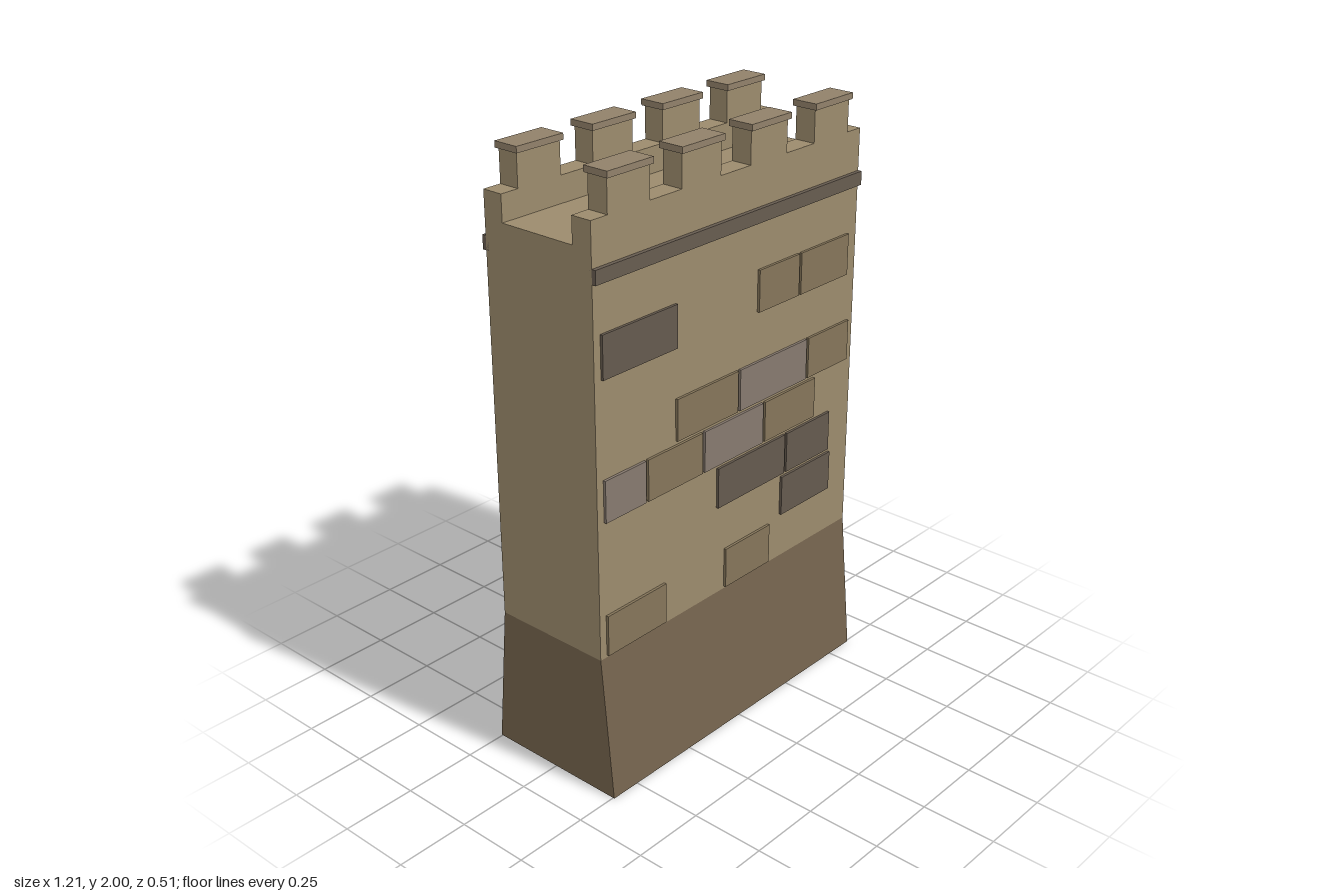
import * as THREE from 'three';

const WIDTH = 1.21, WALL_Z = 0.21;

const mat = (color) => new THREE.MeshStandardMaterial({ color, flatShading: true });

function mesh(name, geometry, material) {
  const m = new THREE.Mesh(geometry, material);
  m.name = name;
  return m;
}

// Box given by its limits on each axis
function box(name, [x0, x1], [y0, y1], [z0, z1], material) {
  const m = mesh(name, new THREE.BoxGeometry(x1 - x0, y1 - y0, z1 - z0), material);
  m.position.set((x0 + x1) / 2, (y0 + y1) / 2, (z0 + z1) / 2);
  return m;
}

// Cross-section of [z, y] points swept along the wall's width
function sweep(name, points, material) {
  const shape = new THREE.Shape(points.map(([z, y]) => new THREE.Vector2(-z, y)));
  const g = new THREE.ExtrudeGeometry(shape, { depth: WIDTH, bevelEnabled: false });
  g.translate(0, 0, -WIDTH / 2);
  g.rotateY(Math.PI / 2);
  return mesh(name, g, material);
}

export function createModel() {
  const group = new THREE.Group();
  const wallMat = mat(0x9c8b6d), baseMat = mat(0x75644e);
  const trimMat = mat(0x675c50), capMat = mat(0x91816a);
  const stoneMats = { tan: mat(0x85755a), dark: mat(0x655a4e), grey: mat(0x877a6f) };

  // Battered base
  group.add(sweep('base', [[-0.255, 0], [0.255, 0], [WALL_Z, 0.487], [-WALL_Z, 0.487]], baseMat));

  // Wall body with a walkway sunk between two parapets
  group.add(sweep('wall', [
    [-WALL_Z, 0.487], [WALL_Z, 0.487], [WALL_Z, 1.875], [0.138, 1.875],
    [0.138, 1.79], [-0.138, 1.79], [-0.138, 1.875], [-WALL_Z, 1.875],
  ], wallMat));

  // String course, merlons and caps on both faces
  const range = (s, a, b) => (s > 0 ? [a, b] : [-b, -a]);
  for (const s of [1, -1]) {
    const half = s > 0 ? 'front' : 'back';
    group.add(box(`${half}Band`, [-WIDTH / 2, WIDTH / 2], [1.692, 1.737], range(s, 0.2, 0.224), trimMat));
    for (const x of [-0.455, -0.152, 0.152, 0.455]) {
      group.add(box(`${half}Merlon`, [x - 0.085, x + 0.085], [1.875, 1.98], range(s, 0.138, WALL_Z), wallMat));
      group.add(box(`${half}MerlonCap`, [x - 0.092, x + 0.092], [1.98, 2], range(s, 0.13, 0.219), capMat));
    }
  }

  // Raised stones: [course, x from, x to, kind]
  const frontStones = [
    [0, -0.578, -0.32, 'tan'], [0, -0.035, 0.185, 'tan'],
    [1, 0.245, 0.5, 'dark'],
    [2, -0.075, 0.255, 'dark'], [2, 0.265, 0.49, 'dark'],
    [3, -0.578, -0.405, 'grey'], [3, -0.395, -0.15, 'tan'], [3, -0.14, 0.14, 'grey'], [3, 0.15, 0.405, 'tan'],
    [4, -0.265, 0.015, 'tan'], [4, 0.025, 0.355, 'grey'], [4, 0.365, 0.575, 'tan'],
    [6, -0.578, -0.265, 'dark'], [6, 0.11, 0.305, 'tan'], [6, 0.315, 0.557, 'tan'],
  ];
  const backStones = [
    [0, 0.133, 0.376, 'tan'], [0, -0.103, 0.125, 'grey'], [0, -0.576, -0.399, 'tan'],
    [1, 0.325, 0.578, 'dark'], [1, -0.546, -0.317, 'tan'],
    [2, 0.332, 0.578, 'tan'], [2, -0.465, -0.266, 'grey'],
    [3, -0.546, -0.244, 'dark'],
    [4, 0.044, 0.354, 'dark'], [4, -0.51, -0.192, 'tan'],
    [5, 0.39, 0.578, 'tan'], [5, -0.576, -0.251, 'dark'],
  ];
  const addStones = (name, stones, s) => {
    for (const [course, x0, x1, kind] of stones) {
      const y = 0.495 + course * 0.151;
      group.add(box(name, [x0, x1], [y, y + 0.138], range(s, 0.2, 0.219), stoneMats[kind]));
    }
  };
  addStones('frontStone', frontStones, 1);
  addStones('backStone', backStones, -1);

  return group;
}
